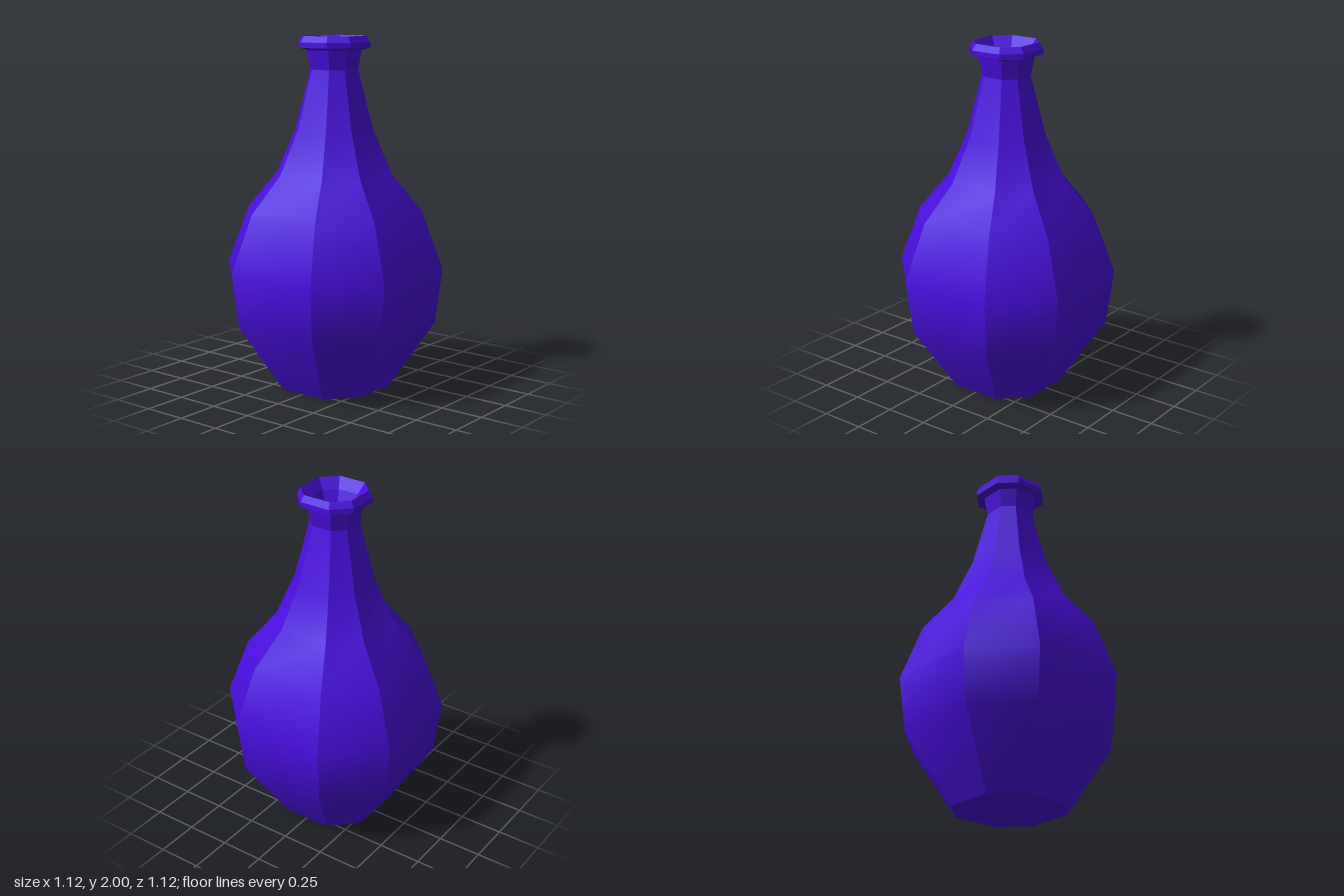
import * as THREE from 'three';

const material = new THREE.MeshStandardMaterial({ color: 0x4a0ee0 });

// Eight corners of a ring whose half width is a, in order around y
const corner = (i, a, y) => {
  const [x, z] = [[1, 0.5], [0.5, 1], [-0.5, 1], [-1, 0.5], [-1, -0.5], [-0.5, -1], [0.5, -1], [1, -0.5]][i % 8];
  return [x * a, y, z * a];
};

// Eight separate panels through a profile of [half width, y], listed upward on
// the outside and downward on the inside: smooth along a panel, sharp between.
function panels(profile) {
  const pos = [], index = [];
  for (let i = 0; i < 8; i++) {
    const base = pos.length / 3;
    profile.forEach(([a, y], k) => {
      pos.push(...corner(i, a, y), ...corner(i + 1, a, y));
      if (k === 0) return;
      const p = base + 2 * (k - 1);
      index.push(p, p + 2, p + 1, p + 1, p + 2, p + 3);
    });
  }
  const g = new THREE.BufferGeometry();
  g.setAttribute('position', new THREE.Float32BufferAttribute(pos, 3));
  g.setIndex(index);
  g.computeVertexNormals();
  return g;
}

// Flat octagonal cap, facing up or down
function cap(a, y, up) {
  const shape = new THREE.Shape();
  for (let i = 0; i < 8; i++) {
    const [x, , z] = corner(i, a, 0);
    if (i) shape.lineTo(x, z); else shape.moveTo(x, z);
  }
  return new THREE.ShapeGeometry(shape).rotateX(up ? -Math.PI / 2 : Math.PI / 2).translate(0, y, 0);
}

export function createModel() {
  const bottle = new THREE.Group();
  bottle.name = 'bottle';
  const add = (name, geometry) => {
    const mesh = new THREE.Mesh(geometry, material);
    mesh.name = name;
    bottle.add(mesh);
  };

  // Outer wall
  add('body', panels([[0.288, 0], [0.522, 0.39], [0.558, 0.705], [0.45, 1.025], [0.295, 1.235], [0.198, 1.485], [0.122, 1.815]]));
  add('base', cap(0.288, 0, false));
  add('neck', panels([[0.122, 1.815], [0.14, 1.922]]));

  // Rim, one faceted band at a time
  const rim = [[0.14, 1.922], [0.183, 1.935], [0.183, 1.965], [0.163, 2], [0.125, 1.94]];
  for (let k = 1; k < rim.length; k++) add('rimBand', panels([rim[k - 1], rim[k]]));

  // Hollow of the neck
  add('throat', panels([[0.125, 1.94], [0.064, 1.78]]));
  add('throatFloor', cap(0.064, 1.78, true));
  return bottle;
}
